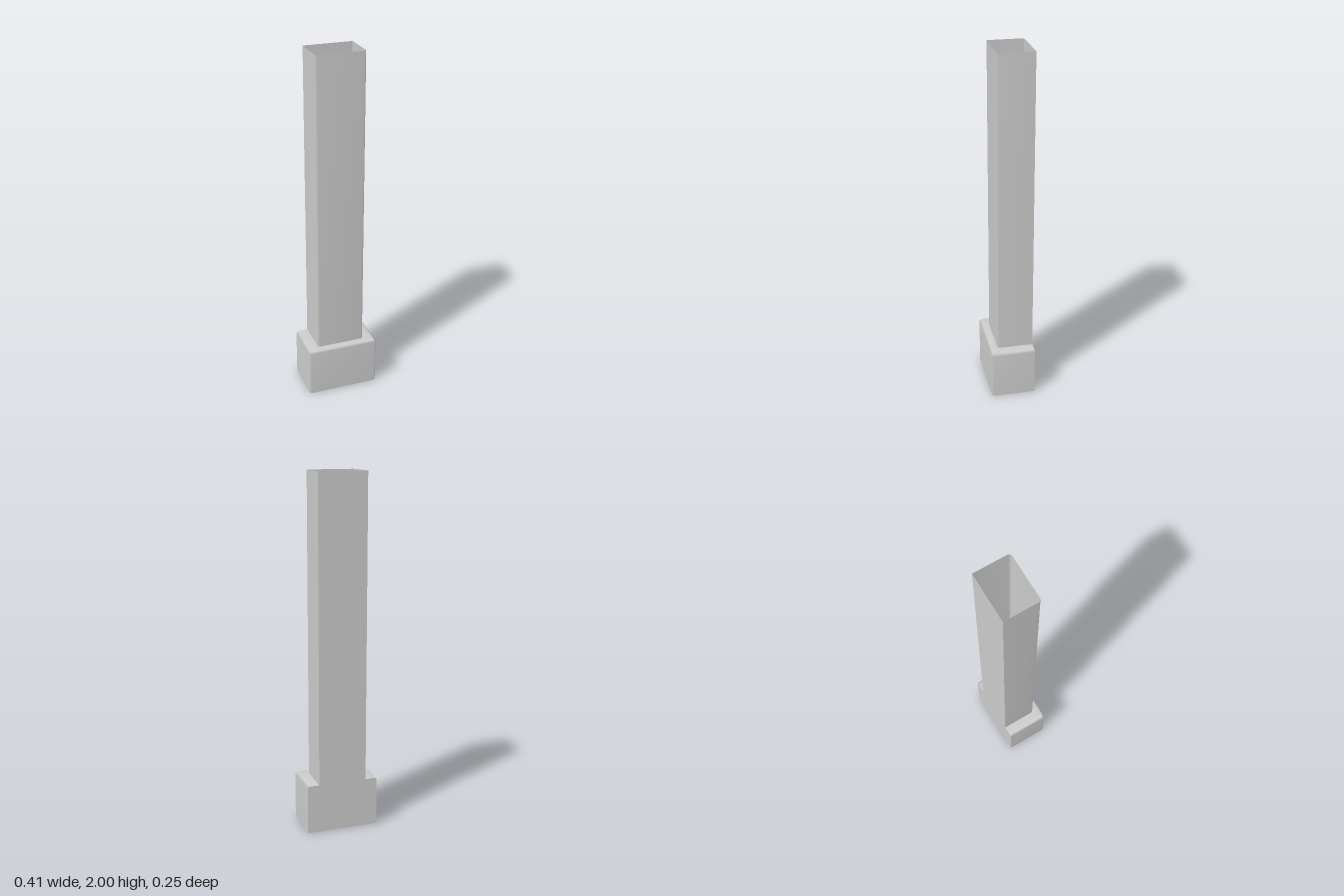
import * as THREE from 'three';

const BACK = -0.125, HEIGHT = 2, BASE_H = 0.28, BEVEL = 0.011;
const BASE_W = 0.206, BASE_FRONT = 0.125, SHAFT_W = 0.138, SHAFT_FRONT = 0.078;

const material = new THREE.MeshStandardMaterial({ color: 0xcccccc, side: THREE.DoubleSide });

// U-shaped cross-section, open at the back, with chamfered front corners
function section(y, w, front, c = BEVEL) {
  return [[-w, BACK], [-w, front - c], [-w + c, front], [w - c, front], [w, front - c], [w, BACK]]
    .map(([x, z]) => [x, y, z]);
}

// Skin between cross-sections, listed from the bottom up
function loft(name, sections) {
  const n = sections[0].length, index = [];
  for (let j = 0; j < sections.length - 1; j++) {
    for (let i = 0; i < n - 1; i++) {
      const a = j * n + i, b = a + 1, c = b + n, d = a + n;
      index.push(a, b, c, a, c, d);
    }
  }
  const geometry = new THREE.BufferGeometry();
  geometry.setAttribute('position', new THREE.Float32BufferAttribute(sections.flat(2), 3));
  geometry.setIndex(index);
  geometry.computeVertexNormals();
  const mesh = new THREE.Mesh(geometry, material);
  mesh.name = name;
  return mesh;
}

export function createModel() {
  const group = new THREE.Group();
  group.name = 'pilaster';

  // Plinth: walls, bevelled top edge and ledge running in to the shaft
  group.add(loft('plinth', [
    section(0, BASE_W, BASE_FRONT),
    section(BASE_H - BEVEL, BASE_W, BASE_FRONT),
    section(BASE_H, BASE_W - BEVEL, BASE_FRONT - BEVEL),
    section(BASE_H, SHAFT_W, SHAFT_FRONT),
  ]));

  // Hollow shaft, open at the top
  group.add(loft('shaft', [
    section(BASE_H, SHAFT_W, SHAFT_FRONT),
    section(HEIGHT, SHAFT_W, SHAFT_FRONT),
  ]));

  // Flat back closing both the plinth and the shaft
  const half = [
    [BASE_W, 0], [BASE_W, BASE_H - BEVEL], [BASE_W - BEVEL, BASE_H],
    [SHAFT_W, BASE_H], [SHAFT_W, HEIGHT],
  ];
  const outline = [...half, ...half.map(([x, y]) => [-x, y]).reverse()];
  const shape = new THREE.Shape(outline.map(([x, y]) => new THREE.Vector2(x, y)));
  const back = new THREE.Mesh(new THREE.ShapeGeometry(shape), material);
  back.name = 'backPanel';
  back.rotation.y = Math.PI;
  back.position.z = BACK;
  group.add(back);

  return group;
}
